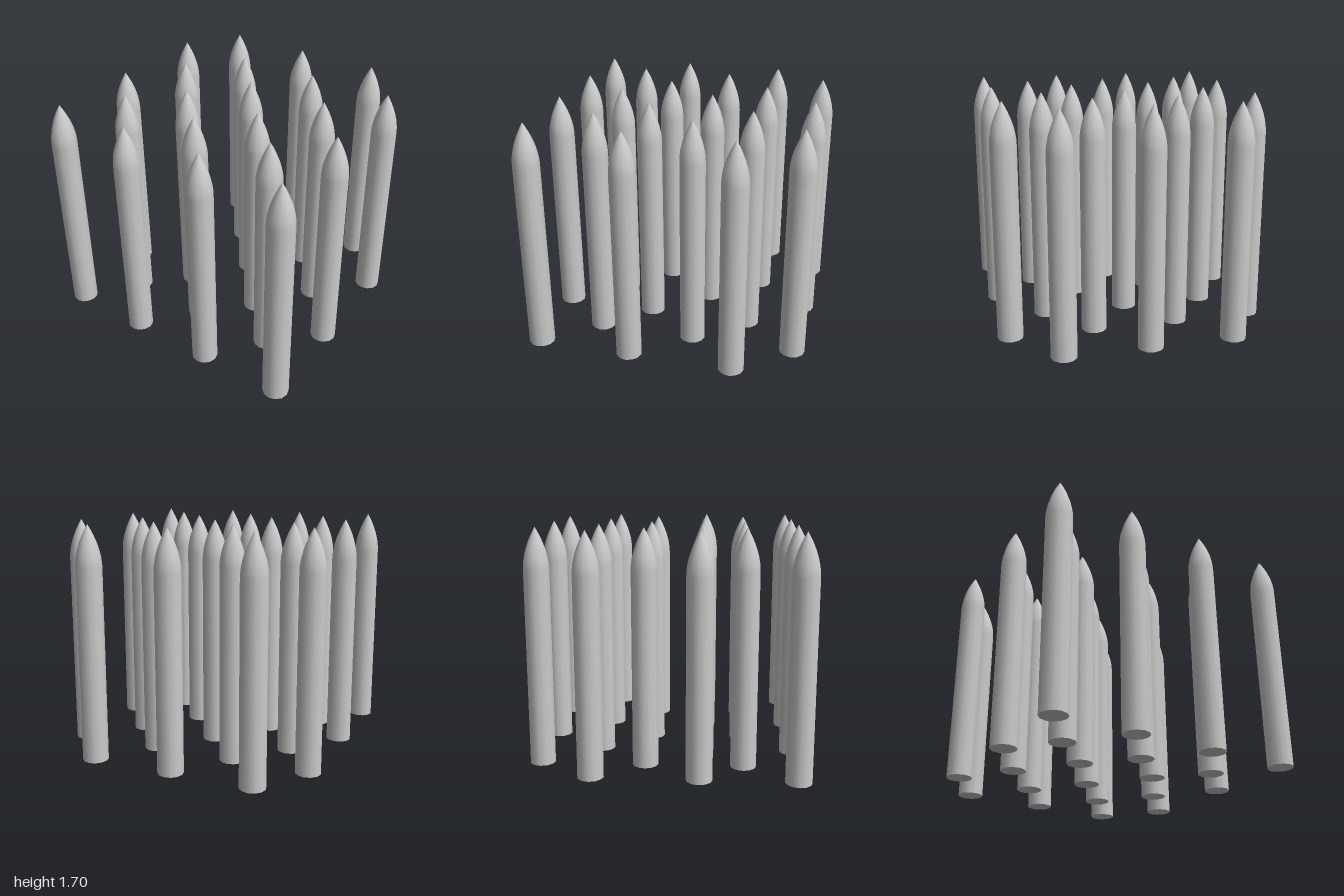
import * as THREE from 'three';

const RADIUS = 0.0925, SHOULDER = 1.4, HEIGHT = 1.695, SIDES = 12, TIP_STEPS = 8;

// Round shaft that curves into a pointed ogive tip
function stakeGeometry() {
  const profile = [new THREE.Vector2(RADIUS, 0)];
  for (let i = 0; i <= TIP_STEPS; i++) {
    const t = i / TIP_STEPS;
    const r = RADIUS * (1 - Math.pow(t, 1.9));
    profile.push(new THREE.Vector2(r, SHOULDER + (HEIGHT - SHOULDER) * t));
  }
  return new THREE.LatheGeometry(profile, SIDES);
}

export function createModel() {
  const model = new THREE.Group();
  model.name = 'stakeField';
  const material = new THREE.MeshStandardMaterial({ color: 0xcccccc });
  const body = stakeGeometry();
  const base = new THREE.CircleGeometry(RADIUS, SIDES).rotateX(Math.PI / 2);

  // Staggered rows, alternating three and four stakes
  const three = [-0.637, -0.025, 0.587];
  const four = (left) => [left, -0.322, 0.292, 0.904];
  const rows = [
    [-0.91, three],
    [-0.52, four(-0.895)],
    [-0.163, three],
    [0.23, four(-0.902)],
    [0.537, three],
    [0.907, four(-0.908)],
  ];

  rows.forEach(([z, xs], r) => {
    const row = new THREE.Group();
    row.name = `stakeRow${r + 1}`;
    for (const x of xs) {
      const stake = new THREE.Group();
      stake.name = 'stake';
      const shaft = new THREE.Mesh(body, material);
      shaft.name = 'pointedShaft';
      const foot = new THREE.Mesh(base, material);
      foot.name = 'stakeBase';
      stake.add(shaft, foot);
      stake.position.set(x, 0, z);
      row.add(stake);
    }
    model.add(row);
  });
  return model;
}
